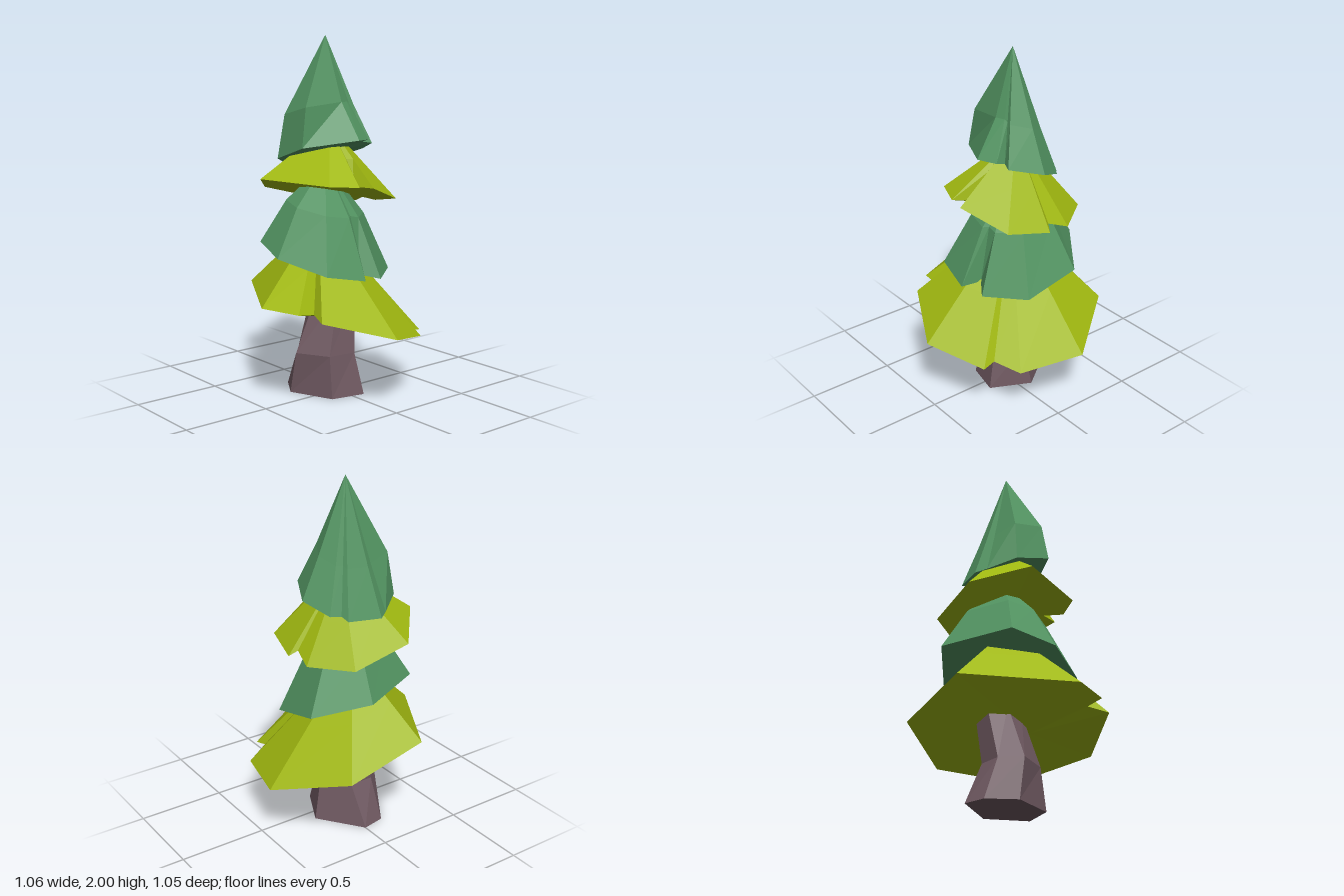
import * as THREE from 'three';

const GREEN = 0x529361, LIME = 0xa0b810, BARK = 0x6e5860;

// Closed faceted solid: stacked rings (anticlockwise from above) ending in a tip
function loft(name, color, rings, tip) {
  const pos = [];
  const tri = (a, b, c) => pos.push(...a, ...b, ...c);
  const base = rings[0], n = base.length;
  const centre = [0, 1, 2].map(k => base.reduce((s, p) => s + p[k], 0) / n);
  for (let i = 0; i < n; i++) {
    const j = (i + 1) % n;
    tri(base[j], base[i], centre);
    for (let r = 0; r + 1 < rings.length; r++) {
      const lo = rings[r], hi = rings[r + 1];
      tri(lo[i], lo[j], hi[j]);
      tri(lo[i], hi[j], hi[i]);
    }
    const top = rings[rings.length - 1];
    tri(top[i], top[j], tip);
  }
  const geo = new THREE.BufferGeometry();
  geo.setAttribute('position', new THREE.Float32BufferAttribute(pos, 3));
  geo.computeVertexNormals();
  const mesh = new THREE.Mesh(geo, new THREE.MeshStandardMaterial({ color, flatShading: true }));
  mesh.name = name;
  return mesh;
}

// Skirt of branches: jagged rim, a knee part-way up, then a tip.
// A rim point may carry a fourth value: its own knee width.
function tier(name, color, rim, tip, lift, width) {
  const knee = rim.map(([x, y, z, w = width]) => [
    tip[0] + (x - tip[0]) * w,
    y + (tip[1] - y) * lift,
    tip[2] + (z - tip[2]) * w,
  ]);
  return loft(name, color, [rim.map(p => p.slice(0, 3)), knee], tip);
}

export function createModel() {
  const tree = new THREE.Group();
  tree.name = 'pineTree';

  // Crooked trunk: foot, bend and hidden top
  const ring = (y, pts) => pts.map(([x, z]) => [x, y, z]);
  tree.add(loft('trunk', BARK, [
    ring(0, [[-0.124, 0.11], [0.07, 0.154], [0.18, -0.07], [0, -0.315], [-0.13, -0.29], [-0.225, -0.14]]),
    ring(0.235, [[-0.117, 0.08], [0.045, 0.1], [0.13, -0.05], [0.02, -0.2], [-0.12, -0.2], [-0.214, -0.1]]),
    ring(0.55, [[-0.02, 0.03], [0.1, 0.04], [0.18, -0.06], [0.09, -0.2], [-0.02, -0.2], [-0.07, -0.1]]),
  ], [0.04, 0.6, -0.08]));

  tree.add(tier('bottomBranches', LIME, [
    [-0.38, 0.52, 0.338], [-0.017, 0.41, 0.522], [0.3, 0.345, 0.37], [0.29, 0.36, 0.293],
    [0.433, 0.328, 0.222], [0.526, 0.345, -0.146], [0.25, 0.46, -0.522], [-0.215, 0.58, -0.527],
    [-0.53, 0.565, 0.016], [-0.447, 0.555, 0.23], [-0.34, 0.54, 0.222],
  ], [-0.05, 1.0, -0.1], 0.45, 0.55));

  tree.add(tier('lowerMiddleBranches', GREEN, [
    [-0.257, 0.73, 0.228], [-0.025, 0.685, 0.275], [0.015, 0.7, 0.17, 0.75], [0.115, 0.673, 0.24],
    [0.32, 0.684, 0.075], [0.325, 0.764, -0.25], [0.06, 0.85, -0.445], [-0.33, 0.863, -0.27],
    [-0.389, 0.806, -0.03],
  ], [-0.01, 1.3, -0.09], 0.53, 0.6));

  tree.add(tier('upperMiddleBranches', LIME, [
    [-0.237, 1.21, 0.228], [-0.082, 1.2, 0.287], [-0.025, 1.19, 0.17, 0.7], [0.008, 1.19, 0.298],
    [0.275, 1.1, 0.185], [0.334, 1.06, -0.055], [0.29, 1.09, -0.08], [0.314, 1.045, -0.2],
    [0.155, 1.055, -0.417], [-0.175, 1.14, -0.437], [-0.39, 1.226, -0.18],
  ], [0.01, 1.51, -0.08], 0.45, 0.55));

  tree.add(tier('topBranches', GREEN, [
    [-0.266, 1.4, 0.033, 0.85], [0.008, 1.437, 0.18, 0.48], [0.113, 1.435, 0.134, 0.5],
    [0.113, 1.42, 0.078, 0.65], [0.17, 1.41, 0.1, 0.6], [0.257, 1.363, -0.078],
    [0.184, 1.305, -0.228], [0.124, 1.3, -0.247], [0.11, 1.28, -0.29], [-0.076, 1.273, -0.33],
    [-0.133, 1.285, -0.29], [-0.266, 1.33, -0.188, 0.85],
  ], [-0.017, 2.0, -0.078], 0.36, 0.62));

  return tree;
}
